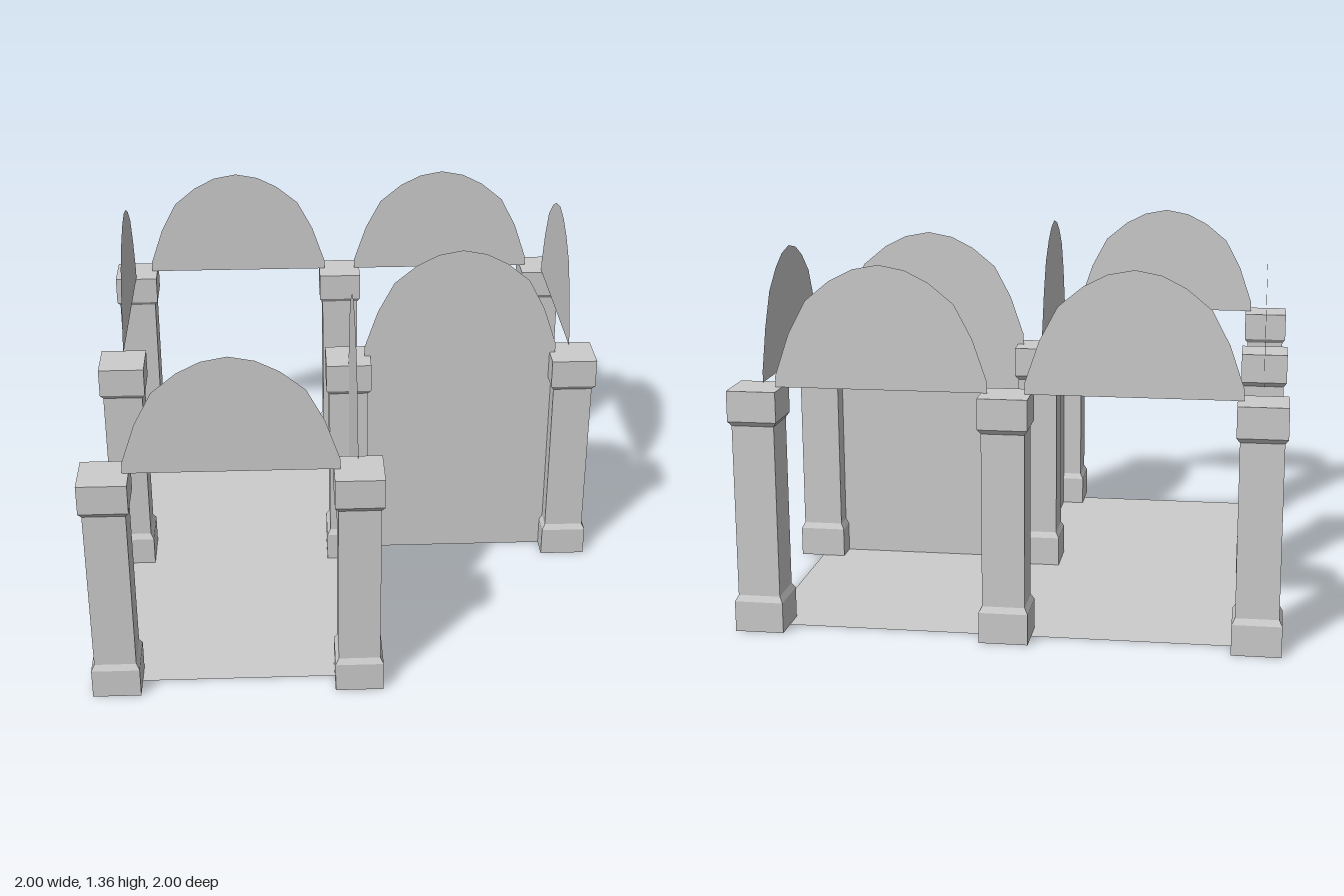
import * as THREE from 'three';

const stone = new THREE.MeshStandardMaterial({ color: 0xcccccc, flatShading: true, side: THREE.DoubleSide });
stone.name = 'grey stone';

const BAY = 0.91; // distance between column axes
const SPRING = 0.91; // height where the arches begin

// Right half of the arch outline, from springing to crown
const ARCH = [[0.388, SPRING], [0.388, 0.95], [0.335, 1.105], [0.27, 1.228], [0.18, 1.302], [0.095, 1.345], [0, 1.363]];

// Flat arched panel, centred on x = 0, with its lower edge at the given height
function archPanel(bottom) {
  const right = ARCH.map(([x, y]) => new THREE.Vector2(x, y));
  const left = ARCH.slice(0, -1).reverse().map(([x, y]) => new THREE.Vector2(-x, y));
  const outline = [...right, ...left];
  if (bottom < SPRING) {
    outline.push(new THREE.Vector2(-ARCH[0][0], bottom), new THREE.Vector2(ARCH[0][0], bottom));
  }
  return new THREE.ShapeGeometry(new THREE.Shape(outline));
}

// Square column with chamfered base and capital
function columnGeometry() {
  const profile = [[0, 0], [0.09, 0], [0.09, 0.115], [0.078, 0.137], [0.078, 0.78], [0.09, 0.797], [0.09, SPRING], [0, SPRING]];
  const points = profile.map(([half, y]) => new THREE.Vector2(half * Math.SQRT2, y));
  return new THREE.LatheGeometry(points, 4, Math.PI / 4);
}

export function createModel() {
  const model = new THREE.Group();
  model.name = 'arcade';

  const add = (name, geometry, x, z, turned = false) => {
    const mesh = new THREE.Mesh(geometry, stone);
    mesh.name = name;
    mesh.position.set(x, 0, z);
    if (turned) mesh.rotation.y = Math.PI / 2;
    model.add(mesh);
    return mesh;
  };

  // L-shaped floor
  const plan = new THREE.Shape([
    [-BAY, BAY], [-BAY, -BAY], [0, -BAY], [0, 0], [BAY, 0], [BAY, BAY],
  ].map(([x, y]) => new THREE.Vector2(x, y)));
  add('floor', new THREE.ShapeGeometry(plan).rotateX(-Math.PI / 2), 0, 0);

  // Columns at every grid point except the open front corner
  const column = columnGeometry();
  for (const x of [-BAY, 0, BAY]) {
    for (const z of [-BAY, 0, BAY]) {
      if (x > 0 && z > 0) continue;
      add('column', column, x, z);
    }
  }

  // Arched panels above the open bays
  const h = BAY / 2;
  const lunette = archPanel(SPRING);
  add('frontLunette', lunette, -h, BAY);
  add('backLunetteRight', lunette, -h, -BAY);
  add('backLunetteLeft', lunette, h, -BAY);
  add('rightLunette', lunette, -BAY, -h, true);
  add('leftLunette', lunette, BAY, -h, true);

  // Full-height arched walls around the inner corner
  const wall = archPanel(0);
  add('innerFrontWall', wall, h, 0);
  add('innerSideWall', wall, 0, h, true);

  return model;
}
